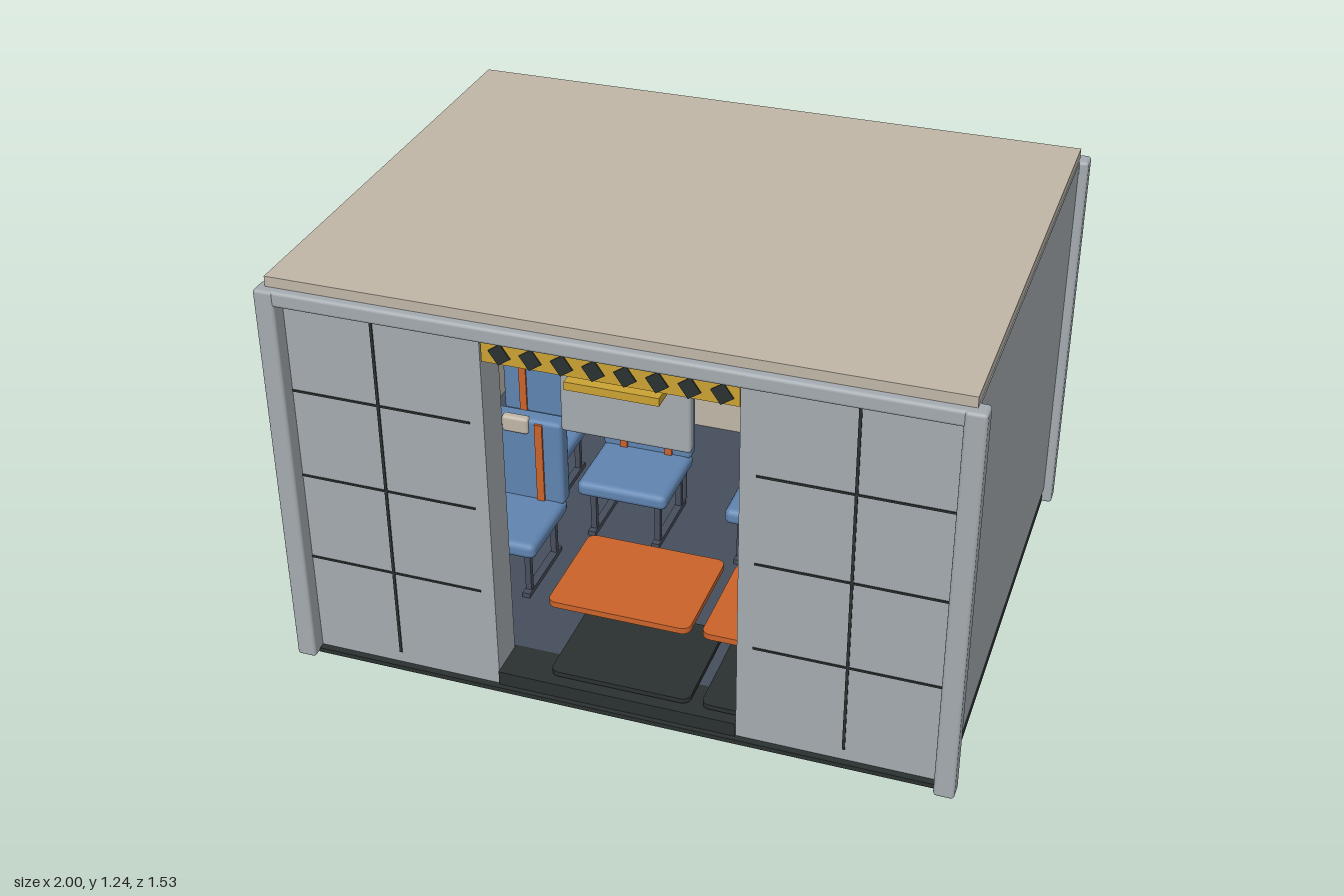
import * as THREE from 'three';
import { RoundedBoxGeometry } from 'three/addons/geometries/RoundedBoxGeometry.js';

const material = (name, color) => {
  const m = new THREE.MeshStandardMaterial({ color });
  m.name = name;
  return m;
};

export function createModel() {
  const grey = material('steel grey', 0xa4abb0);
  const beige = material('warm beige', 0xc0b7a8);
  const black = material('rubber black', 0x2a3130);
  const slate = material('slate', 0x474e5c);
  const blue = material('seat blue', 0x6084b0);
  const orange = material('orange', 0xcb632a);
  const yellow = material('warning yellow', 0xcba233);

  const model = new THREE.Group();
  model.name = 'cabin';

  // Box given by its limits on each axis; r rounds the edges
  function box(name, mat, [x0, x1], [y0, y1], [z0, z1], r = 0, parent = model) {
    const size = [x1 - x0, y1 - y0, z1 - z0];
    const geo = r ? new RoundedBoxGeometry(...size, 2, r) : new THREE.BoxGeometry(...size);
    const mesh = new THREE.Mesh(geo, mat);
    mesh.name = name;
    mesh.position.set((x0 + x1) / 2, (y0 + y1) / 2, (z0 + z1) / 2);
    parent.add(mesh);
    return mesh;
  }

  // Shell: floor, walls and roof
  box('floorSlab', black, [-0.93, 0.965], [0, 0.05], [-0.73, 0.59]);
  box('floorCovering', slate, [-0.92, 0.95], [0.05, 0.056], [-0.71, 0.59]);
  box('doorSill', black, [-0.335, 0.37], [0, 0.058], [0.59, 0.72]);
  box('frontSkirt', black, [-0.92, 0.96], [0, 0.014], [0.66, 0.735]);
  box('backWall', beige, [-0.93, 0.965], [0.01, 1.21], [-0.735, -0.71]);
  box('leftWall', beige, [-0.94, -0.92], [0.01, 1.21], [-0.73, 0.72]);
  box('rightWall', grey, [0.945, 0.968], [0.05, 1.21], [-0.73, 0.72]);
  box('roof', beige, [-0.93, 0.965], [1.2, 1.24], [-0.737, 0.737]);

  // Corner posts and cross beams
  for (const x of [-0.955, 0.937]) {
    for (const z of [-0.765, 0.707]) {
      box('cornerPost', grey, [x, x + 0.058], [0, 1.21], [z, z + 0.058], 0.01);
    }
  }
  box('frontBeam', grey, [-0.93, 0.97], [1.163, 1.21], [0.7, 0.762], 0.01);
  box('backBeam', grey, [-0.93, 0.97], [1.163, 1.21], [-0.762, -0.7], 0.01);

  // Front wall panels on both sides of the doorway, with dark seams
  const face = 0.715;
  const seam = [face, face + 0.003];
  for (const [x0, x1, s0, s1, mid] of [
    [-0.92, -0.335, -0.9, -0.375, -0.642],
    [0.37, 0.96, 0.415, 0.937, 0.677],
  ]) {
    box('frontPanel', grey, [x0, x1], [0.014, 1.17], [0.6, face]);
    for (const y of [0.332, 0.61, 0.885]) {
      box('panelSeam', black, [s0, s1], [y - 0.003, y + 0.003], seam);
    }
    box('panelSeam', black, [mid - 0.004, mid + 0.004], [0.05, 1.16], seam);
  }
  box('doorHeader', grey, [-0.335, 0.37], [1.14, 1.2], [0.6, face]);
  box('headerSeam', black, [-0.897, 0.937], [1.158, 1.164], seam);

  // Striped warning board over the doorway
  box('warningBoard', yellow, [-0.332, 0.368], [1.08, 1.14], [0.69, 0.712]);
  for (let i = 0; i < 8; i++) {
    const x = -0.28 + i * 0.086;
    const mark = box('warningMark', black, [x - 0.021, x + 0.021], [1.086, 1.134], [0.712, 0.716]);
    mark.rotation.z = 0.6;
  }

  // Overhead lamp and hanging screen
  box('overheadLamp', yellow, [-0.11, 0.15], [1.03, 1.054], [0.64, 0.7]);
  box('screen', grey, [-0.165, 0.2], [0.833, 1.017], [0.56, 0.6], 0.01);

  // Grab poles
  for (const x of [-0.12, 0.155]) {
    const pole = new THREE.Mesh(new THREE.CylinderGeometry(0.012, 0.012, 1.15, 16), slate);
    pole.name = 'grabPole';
    pole.position.set(x, 0.63, -0.28);
    model.add(pole);
  }

  // Seat with a cushion, back, headrest, straps and a leg frame
  function addSeat(x, z) {
    const seat = new THREE.Group();
    seat.name = 'seat';
    seat.position.set(x, 0, z);
    model.add(seat);
    box('cushion', blue, [-0.145, 0.145], [0.21, 0.262], [-0.13, 0.15], 0.02, seat);
    box('seatBack', blue, [-0.145, 0.145], [0.25, 0.54], [-0.15, -0.09], 0.015, seat);
    box('headrest', beige, [-0.042, 0.042], [0.49, 0.545], [-0.11, -0.08], 0.01, seat);
    for (const s of [-0.074, 0.074]) {
      box('strap', orange, [s - 0.012, s + 0.012], [0.262, 0.53], [-0.092, -0.083], 0, seat);
    }
    for (const s of [-0.105, 0.105]) {
      for (const d of [-0.1, 0.1]) {
        box('leg', slate, [s - 0.009, s + 0.009], [0.056, 0.215], [d - 0.009, d + 0.009], 0, seat);
      }
      box('runner', slate, [s - 0.012, s + 0.012], [0.056, 0.072], [-0.13, 0.13], 0, seat);
    }
  }
  for (const side of [-1, 1]) {
    addSeat(0.02 + side * 0.238, -0.12);
    addSeat(0.02 + side * 0.52, 0.24);
    addSeat(0.02 + side * 0.62, -0.22);
  }

  // Table boards with rounded corners and matching floor mats
  function board(name, mat, x, y, height, w, d) {
    const r = 0.025, a = w / 2, b = d / 2;
    const s = new THREE.Shape();
    s.moveTo(-a + r, -b);
    s.absarc(a - r, -b + r, r, -Math.PI / 2, 0);
    s.absarc(a - r, b - r, r, 0, Math.PI / 2);
    s.absarc(-a + r, b - r, r, Math.PI / 2, Math.PI);
    s.absarc(-a + r, -b + r, r, Math.PI, Math.PI * 1.5);
    const geo = new THREE.ExtrudeGeometry(s, { depth: height, bevelEnabled: false, curveSegments: 5 });
    const mesh = new THREE.Mesh(geo.rotateX(-Math.PI / 2), mat);
    mesh.name = name;
    mesh.position.set(x, y, 0.523);
    model.add(mesh);
  }
  for (const [x, w] of [[-0.793, 0.414], [0.018, 0.414], [0.467, 0.414]]) {
    board('tableTop', orange, x, 0.308, 0.018, w, 0.335);
    board('floorMat', black, x, 0.064, 0.015, w, 0.335);
  }
  return model;
}
